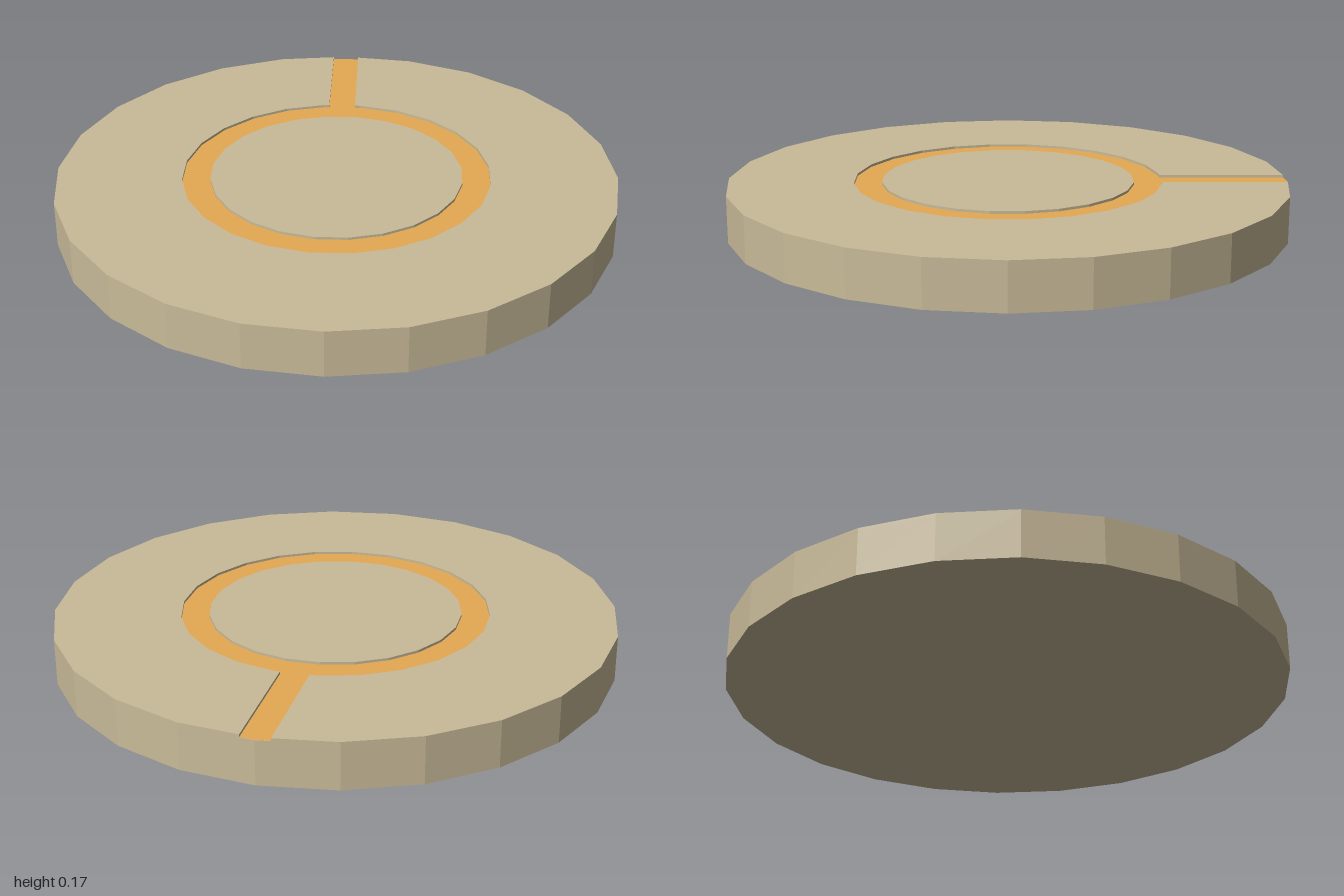
import * as THREE from 'three';

const SIDES = 24, STEP = (Math.PI * 2) / SIDES;
const HEIGHT = 0.167, FLOOR = 0.157;
const R_IN = 0.45, R_OUT = 0.55, HALF = 0.05;

// regular polygon points, clockwise from the back (+y of the shape)
function ringPoints(radius, offset, first = 0) {
  const pts = [];
  for (let i = first; i < SIDES; i++) {
    const a = (i + offset) * STEP;
    pts.push(new THREE.Vector2(Math.sin(a) * radius, Math.cos(a) * radius));
  }
  return pts;
}

export function createModel() {
  const group = new THREE.Group();
  const stone = new THREE.MeshStandardMaterial({ color: 0xc9bb99, flatShading: true });
  const orange = new THREE.MeshStandardMaterial({ color: 0xe5a852, flatShading: true });

  const add = (name, geometry, material, y) => {
    const mesh = new THREE.Mesh(geometry, material);
    mesh.name = name;
    mesh.position.y = y;
    group.add(mesh);
  };
  const plate = (shape) =>
    new THREE.ExtrudeGeometry(shape, { depth: HEIGHT - FLOOR, bevelEnabled: false }).rotateX(-Math.PI / 2);

  // where the channel meets the rim and the ring
  const rimY = 1 - HALF * Math.tan(STEP / 2);
  const ringY = R_OUT * Math.cos(STEP / 2);
  const V = (x, y) => new THREE.Vector2(x, y);
  const outerRing = ringPoints(R_OUT, 0.5);

  // solid disc below the groove
  add('base', new THREE.CylinderGeometry(1, 1, FLOOR, SIDES), stone, FLOOR / 2);

  // outer top layer, cut by the ring groove and the channel
  add('outerPlate', plate(new THREE.Shape([
    V(HALF, rimY), ...ringPoints(1, 0, 1), V(-HALF, rimY),
    V(-HALF, ringY), ...outerRing.slice().reverse(), V(HALF, ringY),
  ])), stone, FLOOR);

  // raised centre inside the ring groove
  add('centrePlate', plate(new THREE.Shape(ringPoints(R_IN, 0.5))), stone, FLOOR);

  // coloured floor of the ring and channel
  const floor = new THREE.Shape([
    V(HALF, ringY), ...outerRing, V(-HALF, ringY), V(-HALF, rimY), V(0, 1), V(HALF, rimY),
  ]);
  floor.holes.push(new THREE.Path(ringPoints(R_IN, 0.5)));
  add('grooveFloor', new THREE.ShapeGeometry(floor).rotateX(-Math.PI / 2), orange, FLOOR + 0.001);

  return group;
}
